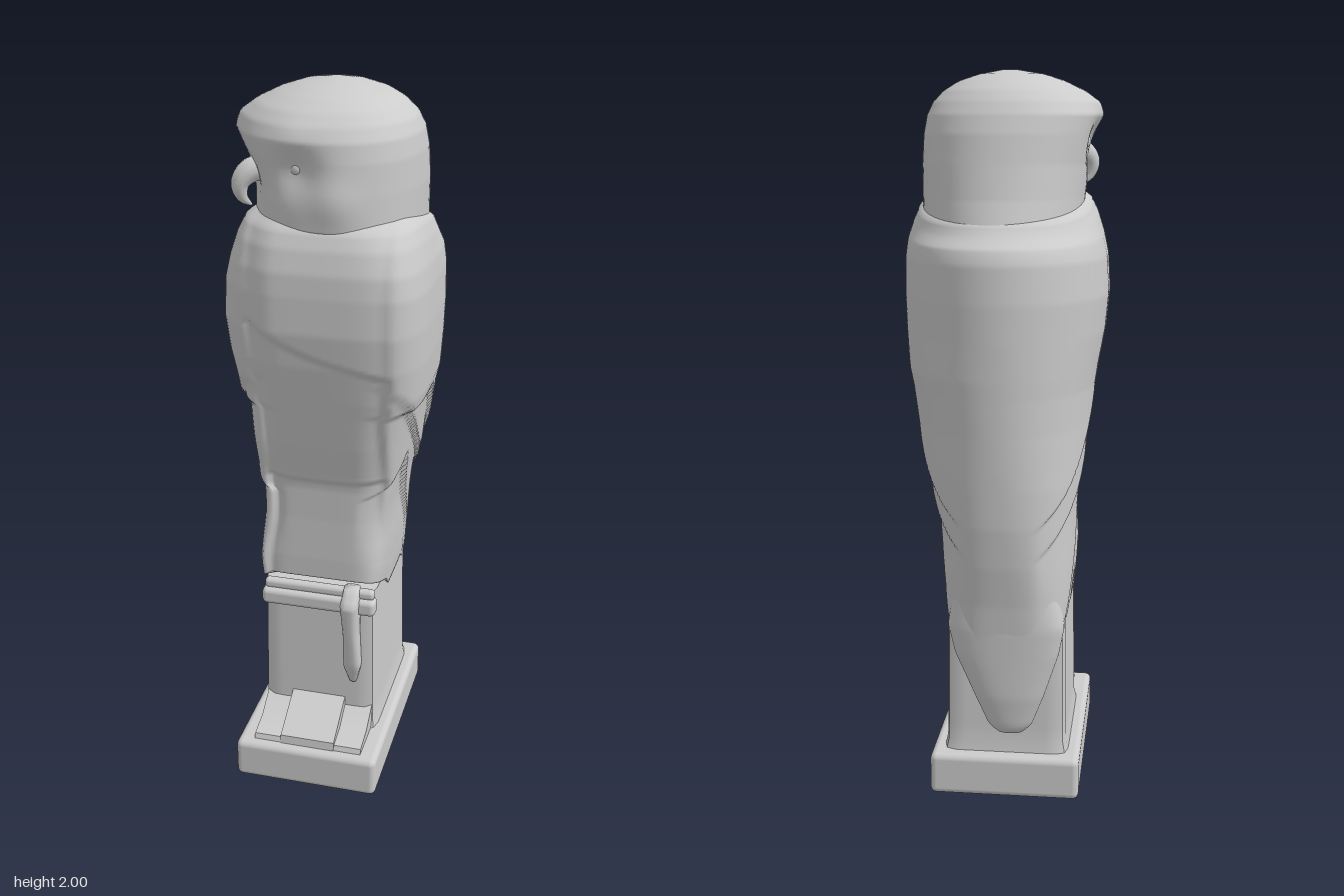
import * as THREE from 'three';
import { RoundedBoxGeometry } from 'three/addons/geometries/RoundedBoxGeometry.js';
import { toCreasedNormals } from 'three/addons/utils/BufferGeometryUtils.js';

const step = THREE.MathUtils.smoothstep;
const bump = (x, y, z, cx, cy, cz, r) =>
  Math.exp(-((x - cx) ** 2 + (y - cy) ** 2 + (z - cz) ** 2) / (r * r));

// Closed loft through rising rows [y, xMin, xMax, zBack, zFront, frontPower, backPower].
function loft(rows, around, up, rule = () => {}) {
  const pos = [], index = [], p = new THREE.Vector3();
  const y0 = rows[0][0], y1 = rows.at(-1)[0];
  const cap = (start) => {
    const c = new THREE.Vector3();
    for (let i = 0; i < around; i++) {
      c.x += pos[(start + i) * 3] / around;
      c.y += pos[(start + i) * 3 + 1] / around;
      c.z += pos[(start + i) * 3 + 2] / around;
    }
    pos.push(c.x, c.y, c.z);
    return pos.length / 3 - 1;
  };
  for (let j = 0; j <= up; j++) {
    const y = y0 + (y1 - y0) * j / up;
    let k = 0;
    while (k < rows.length - 2 && rows[k + 1][0] < y) k++;
    const t = (y - rows[k][0]) / (rows[k + 1][0] - rows[k][0]);
    const [, xa, xb, za, zb, pf, pb] = rows[k].map((v, n) => v + (rows[k + 1][n] - v) * t);
    for (let i = 0; i < around; i++) {
      const a = i / around * Math.PI * 2, c = Math.cos(a), s = Math.sin(a);
      const e = s > 0 ? pf : pb;
      const r = (Math.abs(c) ** e + Math.abs(s) ** e) ** (-1 / e);
      p.set((xa + xb) / 2 + (xb - xa) / 2 * r * c, y, (za + zb) / 2 + (zb - za) / 2 * r * s);
      rule(p, c, s);
      pos.push(p.x, p.y, p.z);
    }
  }
  for (let j = 0; j < up; j++) for (let i = 0; i < around; i++) {
    const a = j * around + i, b = j * around + (i + 1) % around;
    index.push(a, a + around, b, b, a + around, b + around);
  }
  const top = up * around, lo = cap(0), hi = cap(top);
  for (let i = 0; i < around; i++) {
    const n = (i + 1) % around;
    index.push(lo, i, n, hi, top + n, top + i);
  }
  const g = new THREE.BufferGeometry();
  g.setAttribute('position', new THREE.Float32BufferAttribute(pos, 3));
  g.setIndex(index);
  g.computeVertexNormals();
  return g;
}

// Side profile in (z, y), extruded across x.
function sideExtrude(points, xMin, xMax) {
  const shape = new THREE.Shape(points.map(([z, y]) => new THREE.Vector2(-z, y)));
  return new THREE.ExtrudeGeometry(shape, { depth: xMax - xMin, bevelEnabled: false })
    .rotateY(Math.PI / 2).translate(xMin, 0, 0);
}

// Stepped feather edges, chest panel, sloping shoulders and lower hem.
function carveBody(p, c, s) {
  const { x, y, z } = p;
  const below = (edge) => 1 - step(y - edge, -0.009, 0.009);
  const side = step(Math.abs(c), 0.35, 0.65) * (0.35 + 0.65 * step(y, 0.55, 0.85));
  const feathers = below(z > 0 ? 1.16 : 1.16 + 1.13 * z) * 0.012
    + below(0.99 + 0.85 * z) * 0.012
    + below(z > 0.08 ? 0.98 - 0.67 * (z - 0.08) : 0.856 + 1.55 * z) * 0.014;
  p.x -= Math.sign(c) * side * feathers;
  if (s > 0) {
    const panel = step(x, -0.2, -0.17) * (1 - step(x, 0.18, 0.215)) * step(s, 0.3, 0.5);
    const bib = 1.33 - 0.25 * x + 0.9 * Math.min(0, x - 0.05) ** 2;
    p.z -= panel * (0.01 + 0.012 * below(bib) + 0.012 * below(0.93 + 0.25 * x * x));
    p.z -= 0.06 * step(-x, 0.1, 0.28) * s * step(y, 1, 1.25);
  }
  if (y < 0.8) {
    const hem = z > 0.05 ? 0.54 + 0.4 * (z - 0.05) : 0.53 - 0.07 * step(-z, 0.12, 0.24);
    p.y = hem + (0.8 - hem) * (y - 0.5) / 0.3;
  }
  p.y -= 0.06 * step(-s, -0.6, 1) * step(y, 1.5, 1.66);
}

// Face turned to the right: brows, eye sockets and cheek.
function carveHead(p) {
  const { x, y, z } = p;
  const sockets = 0.022 * bump(x, y, z, -0.05, 1.81, 0.28, 0.06) + 0.024 * bump(x, y, z, -0.24, 1.81, 0.03, 0.06)
    + 0.02 * bump(x, y, z, -0.2, 1.76, 0.17, 0.07);
  const brows = 0.01 * bump(x, y, z, -0.06, 1.88, 0.27, 0.06) + 0.012 * bump(x, y, z, -0.24, 1.9, 0.08, 0.06);
  const cheek = 0.01 * bump(x, y, z, 0.05, 1.73, 0.28, 0.06);
  const k = 1 + (brows + cheek - sockets) / 0.25;
  p.x *= k;
  p.z *= k;
}

export function createModel() {
  const model = new THREE.Group();
  const material = new THREE.MeshStandardMaterial({ color: 0xcccccc, roughness: 0.8 });
  const add = (name, geometry) => {
    const mesh = new THREE.Mesh(geometry, material);
    mesh.name = name;
    model.add(mesh);
  };

  // Plinth and pillar
  add('base', new RoundedBoxGeometry(0.42, 0.12, 0.65, 3, 0.018).translate(-0.02, 0.06, 0.04));
  add('pillar', toCreasedNormals(loft([
    [0.1, -0.2, 0.16, -0.25, 0.22, 14, 14], [0.15, -0.19, 0.15, -0.24, 0.2, 14, 14],
    [0.58, -0.185, 0.145, -0.235, 0.195, 14, 14]], 64, 10), 0.6));

  // Sloping feet on the plinth
  add('footSlope', toCreasedNormals(sideExtrude(
    [[0.18, 0.11], [0.34, 0.11], [0.33, 0.135], [0.26, 0.15], [0.18, 0.2]], -0.18, 0.14), 0.4));
  add('footBlock', toCreasedNormals(sideExtrude(
    [[0.18, 0.11], [0.34, 0.11], [0.335, 0.145], [0.25, 0.19], [0.18, 0.225]], -0.1, 0.06), 0.4));

  // Perch bar and hanging strap
  add('perchBar', new RoundedBoxGeometry(0.335, 0.05, 0.05, 3, 0.015).translate(-0.015, 0.545, 0.205));
  add('perchLip', new RoundedBoxGeometry(0.325, 0.03, 0.03, 3, 0.012).translate(-0.015, 0.58, 0.2));
  add('strap', loft([
    [0.28, 0.075, 0.095, 0.185, 0.208, 3, 3], [0.34, 0.06, 0.11, 0.185, 0.232, 4, 4],
    [0.46, 0.062, 0.105, 0.185, 0.25, 4, 4], [0.56, 0.055, 0.108, 0.185, 0.262, 4, 4],
    [0.6, 0.06, 0.104, 0.185, 0.225, 4, 4]], 20, 24));

  // Folded wings, chest and legs as one carved body
  add('body', loft([
    [0.5, -0.205, 0.165, -0.3, 0.232, 8, 3.4], [0.6, -0.215, 0.175, -0.312, 0.234, 7, 3],
    [0.7, -0.223, 0.19, -0.33, 0.234, 6, 2.6], [0.8, -0.228, 0.204, -0.342, 0.234, 5.5, 2.4],
    [0.9, -0.234, 0.219, -0.346, 0.237, 5, 2.3], [0.95, -0.238, 0.229, -0.348, 0.245, 4.5, 2.2],
    [1.05, -0.244, 0.242, -0.351, 0.272, 4.5, 2.1], [1.15, -0.25, 0.257, -0.354, 0.295, 4.5, 2.1],
    [1.2, -0.257, 0.268, -0.356, 0.307, 4.5, 2.1], [1.3, -0.275, 0.277, -0.358, 0.328, 4.5, 2],
    [1.4, -0.284, 0.281, -0.358, 0.342, 4.5, 2], [1.5, -0.278, 0.28, -0.352, 0.342, 4.5, 2],
    [1.56, -0.266, 0.274, -0.336, 0.338, 4.2, 2], [1.62, -0.248, 0.26, -0.3, 0.322, 3.8, 2],
    [1.66, -0.23, 0.245, -0.275, 0.302, 3.4, 2.1], [1.69, -0.19, 0.21, -0.22, 0.265, 2.8, 2.2]],
  160, 150, carveBody));

  // Tail emerging from the back and tapering down behind the pillar
  add('tail', loft([
    [0.19, -0.07, 0, -0.272, -0.235, 3, 2], [0.21, -0.095, 0.025, -0.282, -0.225, 3, 2],
    [0.3, -0.13, 0.065, -0.295, -0.215, 3, 2.2], [0.42, -0.17, 0.12, -0.3, -0.19, 3, 2.4],
    [0.5, -0.185, 0.14, -0.304, -0.17, 3, 2.5], [0.6, -0.165, 0.125, -0.305, -0.15, 3, 2.4],
    [0.72, -0.11, 0.08, -0.3, -0.15, 3, 2.2]], 48, 40));

  // Head with a rounded crown, flaring into the nape
  add('head', loft([
    [1.54, -0.2, 0.225, -0.29, 0.25, 2.4, 2], [1.6, -0.208, 0.232, -0.274, 0.275, 2.4, 2],
    [1.66, -0.213, 0.234, -0.253, 0.29, 2.3, 2.1],
    [1.75, -0.224, 0.237, -0.232, 0.29, 2.2, 2.1], [1.83, -0.242, 0.234, -0.215, 0.288, 2.2, 2.1],
    [1.88, -0.254, 0.226, -0.197, 0.284, 2.15, 2.1], [1.915, -0.24, 0.21, -0.175, 0.265, 2.1, 2],
    [1.945, -0.205, 0.18, -0.145, 0.235, 2.1, 2], [1.97, -0.155, 0.14, -0.1, 0.19, 2, 2],
    [1.988, -0.1, 0.085, -0.05, 0.135, 2, 2], [2, -0.025, 0.02, 0.02, 0.06, 2, 2]],
  80, 80, carveHead));

  // Hooked beak, a tube thinned toward its tip
  const path = new THREE.CatmullRomCurve3([[-0.15, 1.785, 0.15], [-0.195, 1.78, 0.18],
    [-0.219, 1.75, 0.196], [-0.214, 1.712, 0.194], [-0.195, 1.69, 0.18]].map((v) => new THREE.Vector3(...v)));
  const beak = new THREE.TubeGeometry(path, 16, 0.036, 12);
  const bp = beak.attributes.position, v = new THREE.Vector3();
  for (let i = 0; i < bp.count; i++) {
    const t = Math.floor(i / 13) / 16, c = path.getPointAt(t);
    v.fromBufferAttribute(bp, i).sub(c).multiplyScalar(1 - 0.9 * t * t).add(c);
    bp.setXYZ(i, v.x, v.y, v.z);
  }
  beak.computeVertexNormals();
  add('beak', beak);

  // Eyes either side of the beak
  for (const [x, z] of [[-0.05, 0.245], [-0.205, 0.03]]) {
    add('eye', new THREE.SphereGeometry(0.022, 16, 12).translate(x, 1.81, z));
  }
  return model;
}
